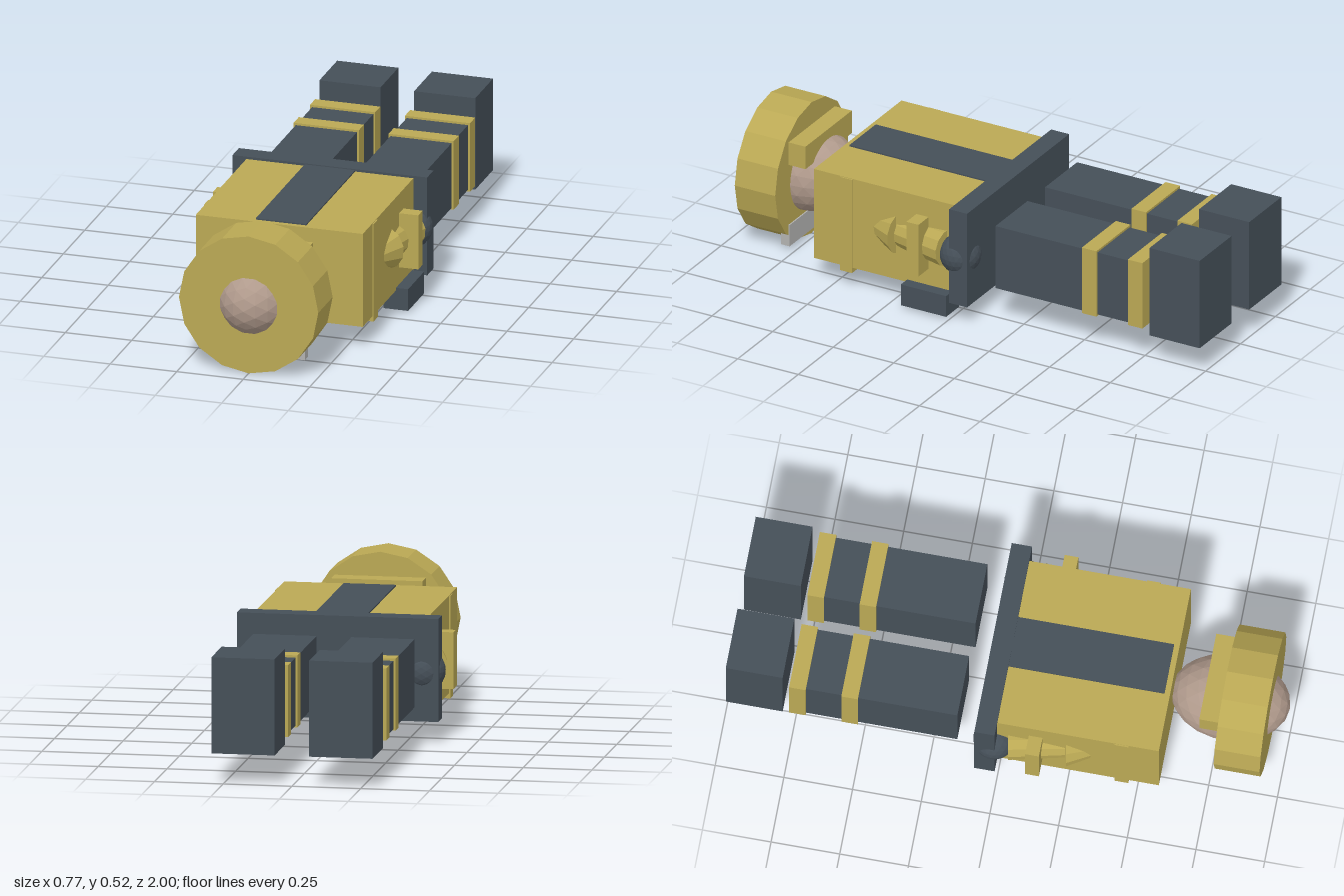
import * as THREE from 'three';

export function createModel() {
  const group = new THREE.Group();
  const material = (name, color) => {
    const m = new THREE.MeshStandardMaterial({ color, flatShading: true });
    m.name = name;
    return m;
  };
  const tan = material('khaki', 0xbaa854);
  const dark = material('slate', 0x454f58);
  const skin = material('skin', 0xb09a8c);
  const grey = material('light grey', 0xb2b2b0);

  const add = (name, geometry, mat) => {
    const mesh = new THREE.Mesh(geometry, mat);
    mesh.name = name;
    group.add(mesh);
    return mesh;
  };
  // Box given by its minimum and maximum on each axis
  const box = (name, mat, x0, x1, y0, y1, z0, z1) =>
    add(name, new THREE.BoxGeometry(x1 - x0, y1 - y0, z1 - z0), mat)
      .position.set((x0 + x1) / 2, (y0 + y1) / 2, (z0 + z1) / 2);
  // Round limb from point a (radius ra) to point b (radius rb)
  const limb = (name, mat, a, b, ra, rb, sides) => {
    const from = new THREE.Vector3(...a), to = new THREE.Vector3(...b);
    const dir = to.clone().sub(from);
    const mesh = add(name, new THREE.CylinderGeometry(rb, ra, dir.length(), sides), mat);
    mesh.position.copy(from).add(to).multiplyScalar(0.5);
    mesh.quaternion.setFromUnitVectors(new THREE.Vector3(0, 1, 0), dir.normalize());
  };

  // Head with its round brim and fittings
  const head = add('head', new THREE.IcosahedronGeometry(1, 3), skin);
  head.scale.set(0.156, 0.152, 0.217);
  head.position.set(0, 0.258, 0.783);
  limb('brim', tan, [0, 0.262, 0.77], [0, 0.262, 0.937], 0.262, 0.262, 16);
  box('goggles', tan, -0.166, 0.166, 0.345, 0.435, 0.7, 0.78);
  box('chinPlate', grey, -0.167, 0.167, 0.02, 0.105, 0.765, 0.8);

  // Torso, strap and pouches
  box('torso', tan, -0.314, 0.314, 0.085, 0.441, -0.01, 0.58);
  box('chestBand', tan, -0.319, 0.319, 0.066, 0.439, 0.42, 0.47);
  box('backStrip', dark, -0.095, 0.095, 0.44, 0.446, -0.01, 0.56);
  box('frontStrip', dark, -0.095, 0.095, 0.076, 0.086, -0.01, 0.56);
  box('belt', dark, -0.366, 0.366, 0.075, 0.45, -0.082, -0.008);
  box('buckle', tan, -0.05, 0.05, 0.055, 0.077, -0.088, -0.005);
  box('hipPouch', dark, 0.267, 0.36, 0.012, 0.095, 0.008, 0.195);
  limb('canister', tan, [-0.232, 0.053, 0.45], [-0.232, 0.053, 0.555], 0.036, 0.036, 24);

  for (const s of [-1, 1]) {
    const sideBox = (name, mat, x0, x1, ...rest) =>
      box(name, mat, Math.min(s * x0, s * x1), Math.max(s * x0, s * x1), ...rest);

    // Arm, cuff and hand
    limb('upperArm', tan, [s * 0.28, 0.262, 0.235], [s * 0.235, 0.262, 0.47], 0.084, 0.002, 12);
    limb('forearm', tan, [s * 0.306, 0.262, 0.03], [s * 0.27, 0.262, 0.23], 0.072, 0.062, 12);
    sideBox('cuff', tan, 0.29, 0.386, 0.16, 0.367, 0.107, 0.157);
    add('hand', new THREE.IcosahedronGeometry(0.076, 3), dark).position.set(s * 0.305, 0.25, -0.02);

    // Leg, straps and boot
    sideBox('leg', dark, 0.063, 0.293, 0.14, 0.388, -0.765, -0.157);
    for (const z of [-0.548, -0.738])
      sideBox('legStrap', tan, 0.056, 0.301, 0.134, 0.396, z - 0.03, z + 0.03);
    sideBox('boot', dark, 0.063, 0.293, 0.11, 0.46, -1, -0.793);
  }
  return group;
}
